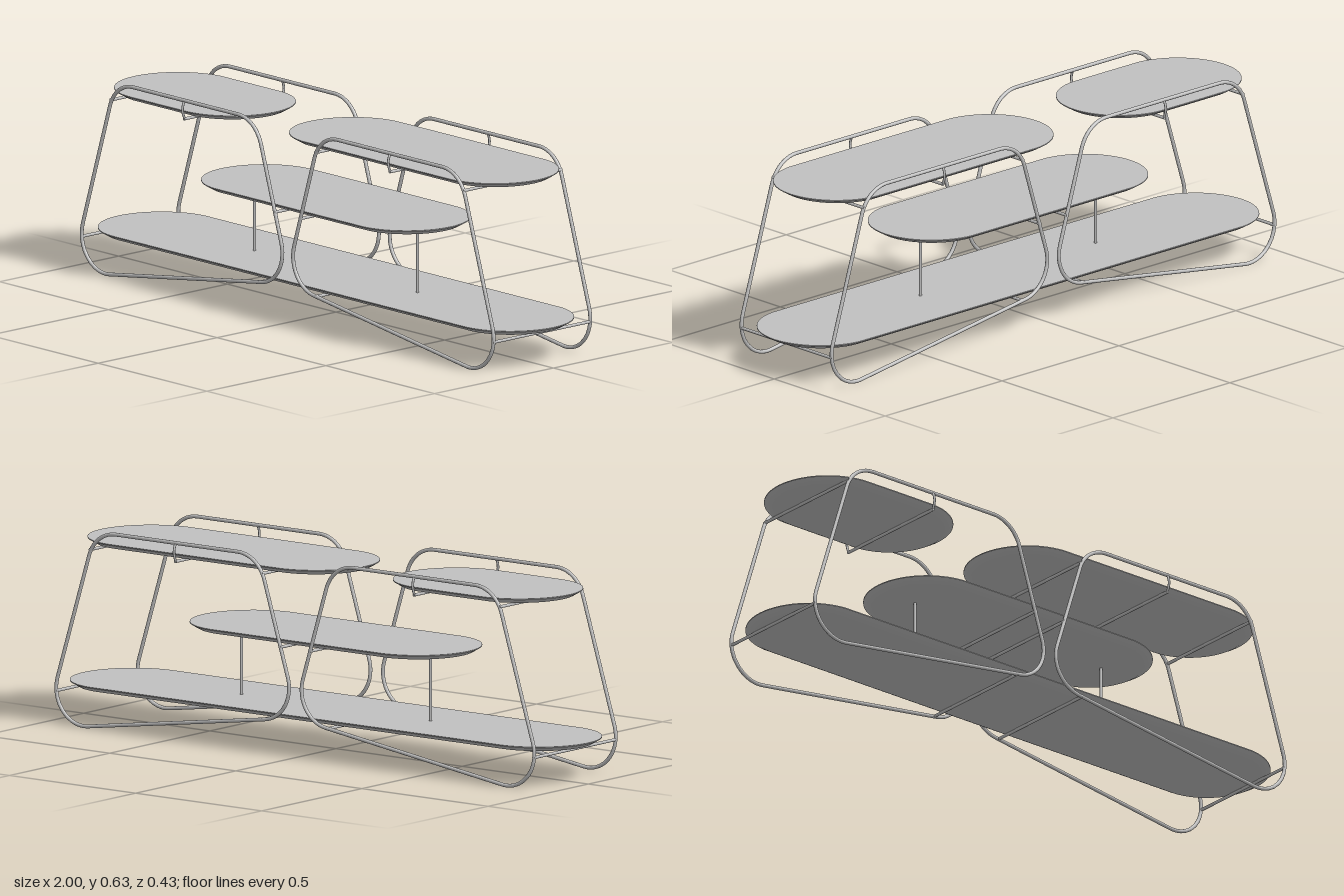
import * as THREE from 'three';
import { toCreasedNormals } from 'three/addons/utils/BufferGeometryUtils.js';

const PIPE = 0.006;   // pipe radius
const SIDE = 0.203;   // z of the side frames

export function createModel() {
  const model = new THREE.Group();
  model.name = 'shelvingUnit';
  const greyMetal = new THREE.MeshStandardMaterial({ color: 0xc0c0c0 });
  greyMetal.name = 'greyMetal';

  const add = (name, geometry, x = 0, y = 0, z = 0) => {
    const mesh = new THREE.Mesh(geometry, greyMetal);
    mesh.name = name;
    mesh.position.set(x, y, z);
    model.add(mesh);
    return mesh;
  };

  // Stadium-shaped tray: a lathed disc pulled apart along x
  const shelf = (name, x0, x1, top) => {
    const r = 0.198, stretch = (x1 - x0) / 2 - r;
    const profile = [[0, -0.018], [0.168, -0.018], [0.174, -0.017], [r, -0.003], [r, 0], [0, 0]]
      .map(([a, b]) => new THREE.Vector2(a, b));
    const geo = new THREE.LatheGeometry(profile, 72);
    const p = geo.attributes.position;
    for (let i = 0; i < p.count; i++) {
      const x = p.getX(i);
      if (Math.abs(x) > 1e-6) p.setX(i, x + Math.sign(x) * stretch);
    }
    add(name, toCreasedNormals(geo, 0.4), (x0 + x1) / 2, top, 0);
  };
  shelf('bottomShelf', -1, 1, 0.13);
  shelf('middleShelf', -0.525, 0.525, 0.366);
  shelf('rightTopShelf', -0.925, -0.28, 0.589);
  shelf('leftTopShelf', -0.12, 0.93, 0.589);

  // Closed frame loop: four sharp corners rounded to one radius
  const frameCurve = (mirror) => {
    const corners = [[-0.009, 0.126], [0.995, -0.018], [0.793, 0.624], [0.147, 0.624]]
      .map(([x, y]) => new THREE.Vector2(x * mirror, y));
    const radius = 0.11, steps = 14, pts = [];
    corners.forEach((c, i) => {
      const a = corners[(i + 3) % 4].clone().sub(c).normalize();
      const b = corners[(i + 1) % 4].clone().sub(c).normalize();
      const half = Math.acos(a.dot(b)) / 2;
      const centre = a.clone().add(b).normalize().multiplyScalar(radius / Math.sin(half)).add(c);
      const reach = radius / Math.tan(half);
      const from = a.multiplyScalar(reach).add(c).sub(centre);
      const to = b.multiplyScalar(reach).add(c).sub(centre);
      for (let k = 0; k <= steps; k++) {
        const q = from.clone().lerp(to, k / steps).setLength(radius).add(centre);
        pts.push(new THREE.Vector3(q.x, q.y, 0));
      }
    });
    const path = new THREE.CurvePath();
    pts.forEach((q, i) => path.add(new THREE.LineCurve3(q, pts[(i + 1) % pts.length])));
    return path;
  };

  for (const mirror of [-1, 1]) {
    const frame = new THREE.TubeGeometry(frameCurve(mirror), 260, PIPE, 10, true);
    for (const s of [-1, 1]) {
      add('sideFrame', frame, 0, 0, s * SIDE);

      // Short hanger bowing outward from the top rail to the cross bar
      const bow = new THREE.CatmullRomCurve3([
        [0.626, 0.203], [0.612, 0.21], [0.594, 0.213], [0.578, 0.209], [0.565, 0.203],
      ].map(([y, z]) => new THREE.Vector3(mirror * 0.473, y, s * z)));
      add('hanger', new THREE.TubeGeometry(bow, 16, 0.004, 8));
    }
    // Post between the bottom and middle shelves
    add('post', new THREE.CylinderGeometry(0.005, 0.005, 0.235, 12), mirror * 0.375, 0.238, 0);
  }

  // Cross bars carrying the shelves
  const bar = new THREE.CylinderGeometry(0.005, 0.005, SIDE * 2 + 0.008, 10).rotateX(Math.PI / 2);
  const rows = [
    [0.106, [-0.947, -0.13, 0.13, 0.947]],
    [0.342, [-0.058, 0.058]],
    [0.566, [-0.811, -0.473, 0.13, 0.473, 0.811]],
  ];
  for (const [y, xs] of rows) for (const x of xs) add('crossBar', bar, x, y, 0);

  return model;
}
